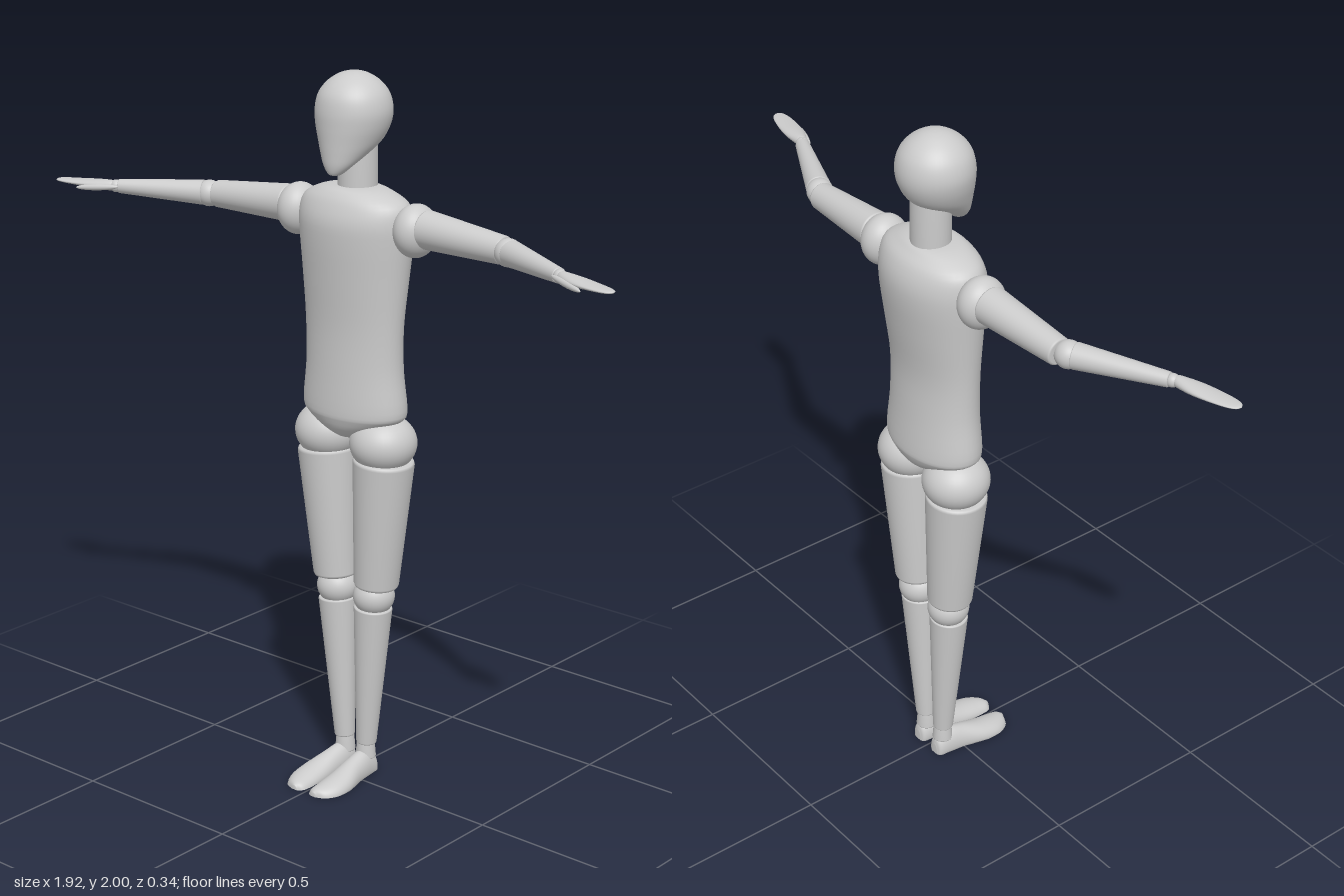
import * as THREE from 'three';

const material = new THREE.MeshStandardMaterial({ color: 0xcccccc, roughness: 0.7 });
const V = (x, y, z) => new THREE.Vector3(x, y, z);
const UP = V(0, 1, 0);

function part(name, geometry) {
  const mesh = new THREE.Mesh(geometry, material);
  mesh.name = name;
  return mesh;
}

// Smooth skin over elliptical sections [y, xMin, xMax, zMin, zMax], listed by rising y
function loft(sections, steps = 48, sides = 40) {
  const curve = (f) => new THREE.CatmullRomCurve3(sections.map(f), false, 'catmullrom', 0.5);
  const a = curve(([y, x0, x1]) => V(y, x0, x1));
  const b = curve(([, , , z0, z1]) => V(z0, z1, 0));
  const pos = [], index = [];
  const ring = (t, k) => {
    const p = a.getPoint(t), q = b.getPoint(t);
    for (let j = 0; j < sides; j++) {
      const u = (j / sides) * Math.PI * 2;
      pos.push((p.y + p.z) / 2 + k * Math.cos(u) * (p.z - p.y) / 2, p.x,
        (q.x + q.y) / 2 + k * Math.sin(u) * (q.y - q.x) / 2);
    }
  };
  ring(0, 0);
  for (let i = 0; i <= steps; i++) ring(i / steps, 1);
  ring(1, 0);
  for (let i = 0; i < steps + 2; i++) {
    for (let j = 0; j < sides; j++) {
      const n = (j + 1) % sides, r = i * sides, s = r + sides;
      index.push(r + j, s + j, r + n, r + n, s + j, s + n);
    }
  }
  const g = new THREE.BufferGeometry();
  g.setAttribute('position', new THREE.Float32BufferAttribute(pos, 3));
  g.setIndex(index);
  g.computeVertexNormals();
  return g;
}

// Tapered round limb from a to b with softened rims
function limb(name, a, b, ra, rb) {
  const len = a.distanceTo(b), e = Math.min(ra, rb) * 0.16;
  const profile = [[0, 0], [ra - e, 0], [ra - e * 0.3, e * 0.3], [ra, e],
    [rb, len - e], [rb - e * 0.3, len - e * 0.3], [rb - e, len], [0, len]];
  const mesh = part(name, new THREE.LatheGeometry(profile.map(([x, y]) => new THREE.Vector2(x, y)), 40));
  mesh.position.copy(a);
  mesh.quaternion.setFromUnitVectors(UP, b.clone().sub(a).normalize());
  return mesh;
}

function ball(name, centre, rx, ry = rx, rz = rx) {
  const mesh = part(name, new THREE.SphereGeometry(1, 36, 24).scale(rx, ry, rz));
  mesh.position.copy(centre);
  return mesh;
}

// Flat palm and slim thumb pointing along the forearm
function hand(side, s) {
  const g = new THREE.Group();
  g.name = side + 'Hand';
  const sections = [[0, 0.010, 0.010], [0.012, 0.015, 0.017], [0.06, 0.013, 0.027], [0.11, 0.009, 0.028],
    [0.16, 0.006, 0.023], [0.185, 0.004, 0.014], [0.193, 0.001, 0.002]];
  const palm = part('palm', loft(sections.map(([y, t, w]) => [y, -t, t, -w, w]), 30, 28));
  const dir = V(s * 0.19, 0, 0.044).normalize();
  palm.quaternion.setFromRotationMatrix(
    new THREE.Matrix4().makeBasis(UP, dir, UP.clone().cross(dir)));
  palm.position.set(s * 0.77, 1.602, 0.085);
  const a = V(s * 0.75, 1.602, 0.093), b = V(s * 0.87, 1.592, 0.14);
  const thumb = ball('thumb', a.clone().lerp(b, 0.5), 0.009, a.distanceTo(b) / 2, 0.009);
  thumb.quaternion.setFromUnitVectors(UP, b.sub(a).normalize());
  g.add(palm, thumb);
  return g;
}

// Foot lofted from heel to toe, pressed flat at the sole
function foot(side, s) {
  const sections = [
    [-0.086, 0.028, 0.05, 0.03], [-0.077, 0.015, 0.063, 0.053], [-0.04, 0.009, 0.07, 0.07],
    [0.01, 0.008, 0.077, 0.06], [0.07, 0.007, 0.091, 0.042], [0.12, 0.007, 0.09, 0.03],
    [0.155, 0.01, 0.072, 0.021], [0.17, 0.025, 0.045, 0.012]];
  const g = loft(sections.map(([z, i, o, top]) =>
    [z, s > 0 ? i : -o, s > 0 ? o : -i, -top, 0.03]));
  g.rotateX(Math.PI / 2);
  const p = g.attributes.position;
  for (let i = 0; i < p.count; i++) p.setY(i, Math.max(0, p.getY(i)));
  g.computeVertexNormals();
  return part(side + 'Foot', g);
}

export function createModel() {
  const model = new THREE.Group();
  model.name = 'mannequin';

  // Torso: crotch to shoulder line, as [y, half width, back z, front z]
  const torso = [
    [0.995, 0.005, -0.06, -0.05], [1.005, 0.04, -0.10, 0.0], [1.03, 0.10, -0.132, 0.03],
    [1.06, 0.15, -0.148, 0.044], [1.09, 0.165, -0.151, 0.048], [1.2, 0.154, -0.143, 0.044],
    [1.32, 0.155, -0.14, 0.043], [1.45, 0.165, -0.157, 0.052], [1.55, 0.174, -0.17, 0.06],
    [1.61, 0.176, -0.169, 0.06], [1.655, 0.165, -0.153, 0.045], [1.68, 0.125, -0.13, 0.028],
    [1.693, 0.08, -0.112, 0.008], [1.697, 0.03, -0.08, -0.03]];
  // Head: chin to crown
  const head = [
    [1.733, 0.006, 0.022, 0.04], [1.738, 0.02, 0.01, 0.05], [1.76, 0.042, -0.02, 0.056],
    [1.79, 0.064, -0.075, 0.058], [1.82, 0.082, -0.12, 0.059], [1.86, 0.098, -0.143, 0.06],
    [1.9, 0.104, -0.149, 0.059], [1.94, 0.095, -0.14, 0.05], [1.97, 0.073, -0.118, 0.028],
    [1.99, 0.044, -0.089, -0.001], [1.998, 0.02, -0.065, -0.025], [2.0, 0.002, -0.047, -0.043]];
  const skin = (rows) => loft(rows.map(([y, w, z0, z1]) => [y, -w, w, z0, z1]));
  model.add(part('torso', skin(torso)), part('head', skin(head)));
  model.add(limb('neck', V(0, 1.66, -0.06), V(0, 1.87, -0.06), 0.054, 0.054));

  for (const [side, s] of [['left', 1], ['right', -1]]) {
    const P = (x, y, z) => V(s * x, y, z);
    const arm = new THREE.Group(), leg = new THREE.Group();
    arm.name = side + 'Arm';
    leg.name = side + 'Leg';
    arm.add(
      ball('shoulder', P(0.203, 1.6, -0.056), 0.056, 0.072, 0.068),
      limb('upperArm', P(0.235, 1.609, -0.056), P(0.5, 1.597, -0.048), 0.052, 0.038),
      ball('elbow', P(0.52, 1.597, -0.037), 0.037),
      limb('forearm', P(0.535, 1.598, -0.03), P(0.762, 1.601, 0.077), 0.035, 0.02),
      ball('wrist', P(0.768, 1.601, 0.081), 0.018),
      hand(side, s));
    leg.add(
      ball('hip', P(0.098, 0.995, -0.054), 0.092, 0.08, 0.094),
      limb('thigh', P(0.1, 0.95, -0.054), P(0.073, 0.573, -0.056), 0.085, 0.063),
      ball('knee', P(0.066, 0.542, -0.055), 0.058, 0.055, 0.059),
      limb('shin', P(0.065, 0.51, -0.053), P(0.04, 0.09, -0.055), 0.054, 0.029),
      limb('ankle', P(0.038, 0.1, -0.055), P(0.038, 0.045, -0.055), 0.025, 0.029),
      foot(side, s));
    model.add(arm, leg);
  }
  return model;
}
